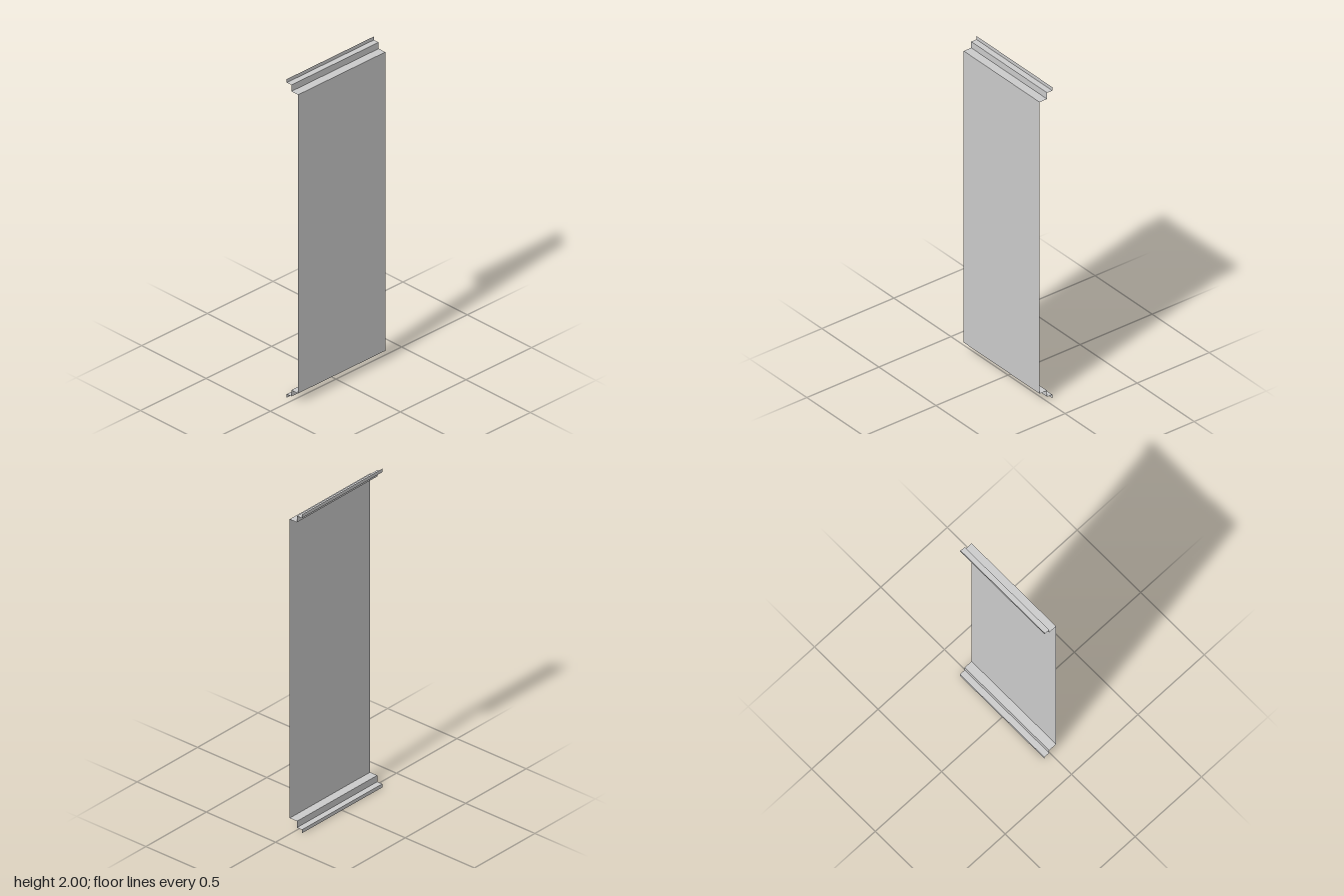
import * as THREE from 'three';

const WIDTH = 0.665;

export function createModel() {
  const group = new THREE.Group();
  group.name = 'foldedSheetPanel';
  const material = new THREE.MeshStandardMaterial({ color: 0xcccccc, side: THREE.DoubleSide, flatShading: true });

  // One flat strip across the full width, between two [z, y] profile points
  function strip(name, [z0, y0], [z1, y1]) {
    const length = Math.hypot(z1 - z0, y1 - y0);
    const mesh = new THREE.Mesh(new THREE.PlaneGeometry(WIDTH, length), material);
    mesh.name = name;
    mesh.position.set(0, (y0 + y1) / 2, (z0 + z1) / 2);
    mesh.rotation.x = Math.atan2(z1 - z0, y1 - y0);
    group.add(mesh);
  }

  // Stepped edge, from the outer lip inwards to the face: [z, distance from the end]
  const edge = [[-0.044, 0], [-0.044, 0.022], [-0.008, 0.022], [-0.008, 0.062], [0.044, 0.062]];
  const bottom = edge;
  const top = edge.map(([z, d]) => [z, 2 - d]).reverse();

  const names = ['Lip', 'OuterStep', 'Flange', 'InnerStep'];
  for (let i = 0; i < 4; i++) {
    strip('bottom' + names[i], bottom[i], bottom[i + 1]);
    strip('top' + names[3 - i], top[i], top[i + 1]);
  }

  // Large front face joining the two stepped edges
  strip('facePanel', bottom[4], top[0]);
  return group;
}
